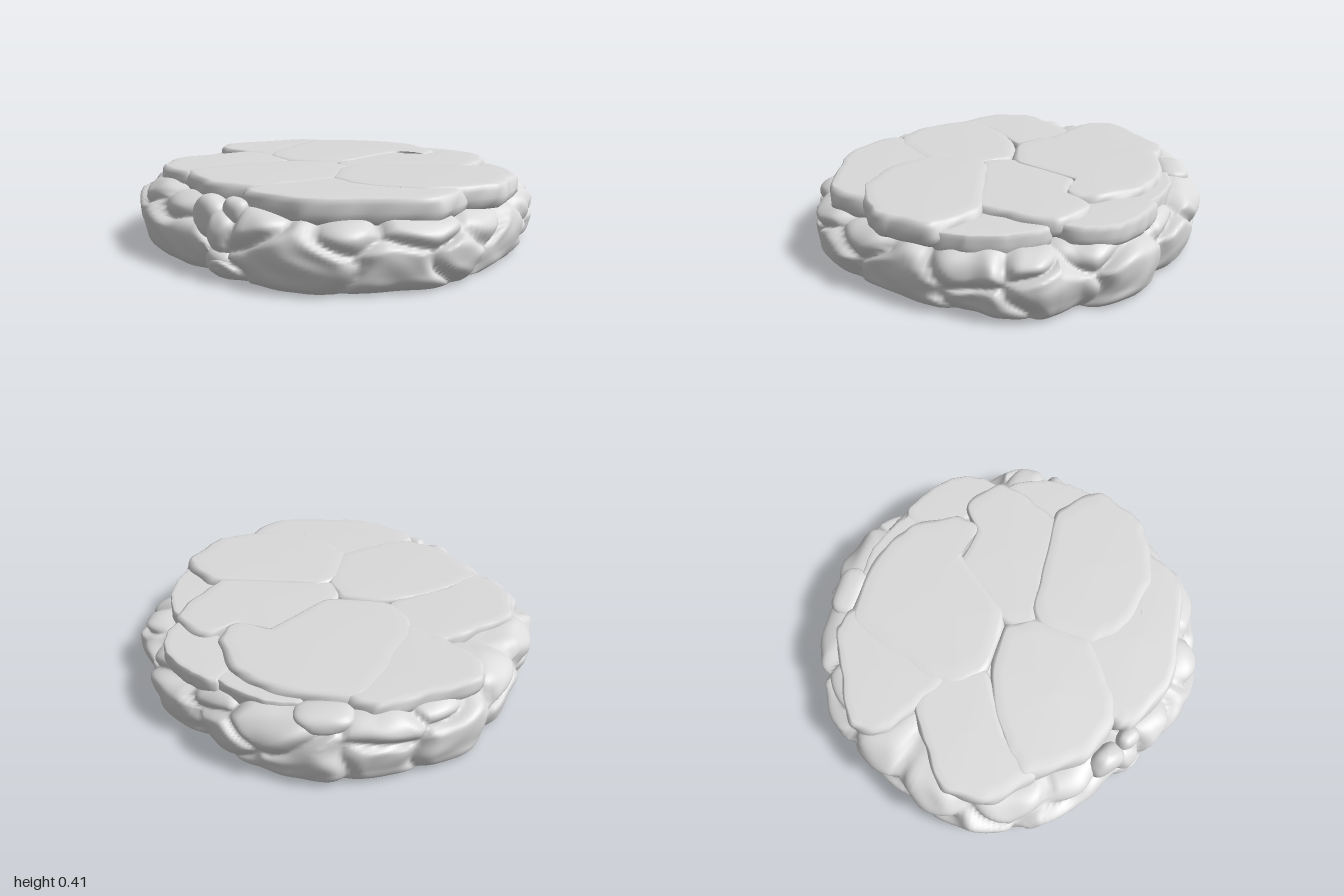
import * as THREE from 'three';

const stone = new THREE.MeshStandardMaterial({ color: 0xdadada });
stone.name = 'pale grey stone';

const FLOOR = 0.004;

// Seeded random numbers
let seed = 7;
const rand = () => (seed = (seed * 16807) % 2147483647) / 2147483647;

// Closed outline in the ground plane, always running from +x towards +z
function outline(pts, n, tension) {
  let area = 0;
  pts.forEach(([x, z], i) => {
    const [x2, z2] = pts[(i + 1) % pts.length];
    area += x * z2 - x2 * z;
  });
  const order = area < 0 ? [...pts].reverse() : pts;
  const curve = new THREE.CatmullRomCurve3(
    order.map(([x, z]) => new THREE.Vector3(x, 0, z)), true, 'catmullrom', tension);
  return Array.from({ length: n }, (_, i) => curve.getPoint(i / n));
}

// Skin over stacked closed rings, listed from the underside to the top
function loft(rings, name) {
  const n = rings[0].length, pos = [], idx = [];
  rings.forEach(r => r.forEach(p => pos.push(p.x, p.y, p.z)));
  for (let i = 0; i < rings.length - 1; i++) {
    for (let j = 0; j < n; j++) {
      const a = i * n + j, b = i * n + (j + 1) % n;
      idx.push(a, a + n, b, b, a + n, b + n);
    }
  }
  const g = new THREE.BufferGeometry();
  g.setAttribute('position', new THREE.Float32BufferAttribute(pos, 3));
  g.setIndex(idx);
  g.computeVertexNormals();
  const mesh = new THREE.Mesh(g, stone);
  mesh.name = name;
  return mesh;
}

// Flat paving stone with a chipped edge that slopes outwards below
function slab(name, pts, top, thick) {
  const n = 96, edge = outline(pts, n, 0.35);
  const c = edge.reduce((s, p) => s.add(p), new THREE.Vector3()).divideScalar(n);
  const phase = rand() * 6;
  const section = [[0, 0], [0.95, 0], [1.02, 0.2], [1.03, 0.45], [1.015, 0.75],
    [0.985, 0.93], [0.94, 0.985], [0.8, 1], [0, 1]];
  return loft(section.map(([s, h]) => edge.map((p, j) => {
    const a = j / n * Math.PI * 2;
    const wob = 1 + 0.014 * Math.sin(a * 7 + phase) + 0.012 * Math.sin(a * 13 + h * 5 + phase);
    const q = c.clone().lerp(p, s * wob);
    q.y = top - thick * (1 - h);
    return q;
  })), name);
}

// Rounded boulder set into the rim, flattened on the ground
function boulder(name, x, y, z, w, h, d) {
  const g = new THREE.SphereGeometry(1, 28, 18), p = g.attributes.position;
  const turn = Math.atan2(x, z), v = new THREE.Vector3();
  for (let i = 0; i < p.count; i++) {
    v.fromBufferAttribute(p, i);
    const k = 1 + 0.06 * Math.sin(v.x * 4 + x * 9) * Math.cos(v.y * 3 + z * 7);
    v.set(...v.toArray().map(c => Math.sign(c) * Math.abs(c) ** 0.8 * k));
    v.multiply(new THREE.Vector3(w, h, d)).applyAxisAngle(new THREE.Vector3(0, 1, 0), turn);
    p.setXYZ(i, x + v.x, Math.max(FLOOR, y + v.y), z + v.z);
  }
  g.computeVertexNormals();
  const mesh = new THREE.Mesh(g, stone);
  mesh.name = name;
  return mesh;
}

// Round body whose side is divided into bulging stones by cells
function rockBody() {
  const rim = outline([[0.99, -0.24], [0.92, -0.42], [0.91, -0.54], [0.82, -0.7], [0.73, -0.75],
    [0.62, -0.79], [0.55, -0.88], [0.35, -0.97], [0.1, -0.96], [-0.1, -0.99], [-0.25, -0.95],
    [-0.4, -0.91], [-0.6, -0.81], [-0.72, -0.68], [-0.83, -0.55], [-0.92, -0.42], [-1, -0.24],
    [-1, 0.05], [-0.94, 0.4], [-0.82, 0.66], [-0.6, 0.84], [-0.29, 0.93], [-0.1, 0.93],
    [-0.02, 0.985], [0.12, 0.98], [0.4, 0.96], [0.62, 0.87], [0.79, 0.68], [0.9, 0.57],
    [0.98, 0.4], [1, 0.13]], 320, 0.4);

  // Stone centres: angle (90 is the front), height, size, set-back
  const cells = [[113, 0.17, 1.7, 0], [64, 0.17, 1.6, 0.015], [91, 0.28, 0.8, 0.03], [89, 0.06, 0.6, 0]];
  for (let a = 142; a < 396; a += 23) {
    cells.push([a + rand() * 12, 0.07 + rand() * 0.13, 1 + rand() * 0.7, rand() * 0.03]);
  }
  for (let a = 0; a < 360; a += 24) {
    cells.push([a + rand() * 14, 0.27 + rand() * 0.1, 0.8 + rand() * 0.5, rand() * 0.035]);
  }
  const seeds = cells.map(([a, y, size, back]) => {
    const t = a * Math.PI / 180;
    return { p: new THREE.Vector3(Math.cos(t), y * 1.6, Math.sin(t)), size, back };
  });

  const profile = new THREE.CatmullRomCurve3([[0.93, FLOOR], [0.965, 0.04], [0.99, 0.1], [1.005, 0.18],
    [1, 0.25], [0.97, 0.3], [0.9, 0.338], [0.76, 0.345]].map(([r, y]) => new THREE.Vector3(r, y, 0)));
  const at = new THREE.Vector3();
  const rings = [];
  for (let i = 0; i <= 40; i++) {
    const { x: s, y } = profile.getPoint(i / 40);
    rings.push(rim.map(q => {
      const len = Math.hypot(q.x, q.z), x = q.x / len, z = q.z / len;
      // Bend the cell borders so the joints run unevenly
      at.set(x * s + 0.025 * Math.sin(y * 26 + z * 9), y * 1.6 + 0.04 * Math.sin(x * 11 + z * 7),
        z * s + 0.025 * Math.sin(y * 22 + x * 8));
      let f1 = 9, f2 = 9, near = seeds[0], next = near;
      for (const c of seeds) {
        const d = at.distanceTo(c.p) / c.size;
        if (d < f1) { f2 = f1; next = near; f1 = d; near = c; } else if (d < f2) { f2 = d; next = c; }
      }
      const gap = 1 - Math.min((f2 - f1) / 0.13, 1);
      const back = near.back + (next.back - near.back) * gap / 2;
      const dent = 0.05 * gap * gap + back * Math.min(1, y / 0.1)
        + 0.006 * Math.sin(at.x * 23 + y * 30) * Math.sin(at.z * 19);
      const k = s * 1.005 - dent;
      // The right-hand rim (-x) stands a little higher than the left
      const rise = 1 - 0.09 * x;
      return new THREE.Vector3(q.x * k, i ? Math.max(FLOOR, y * rise - dent * 0.5) : FLOOR, q.z * k);
    }));
  }
  // Flat underside with a crisp edge, and a closed top beneath the slabs
  const flat = (r, y, s) => r.map(p => new THREE.Vector3(p.x * s, y, p.z * s));
  rings.unshift(flat(rings[0], FLOOR, 0), flat(rings[0], FLOOR, 1));
  rings.push(flat(rim, 0.34, 0));
  return loft(rings, 'rockBody');
}

export function createModel() {
  const model = new THREE.Group();
  model.name = 'roundStonePlatform';
  model.add(rockBody());

  // Large flat paving slabs
  const paving = new THREE.Group();
  paving.name = 'pavingSlabs';
  paving.add(
    slab('backSlab', [[-0.56, -0.58], [-0.2, -0.76], [0, -0.77], [0.24, -0.65], [0.27, -0.5],
      [0.1, -0.44], [0.04, -0.05], [-0.28, 0.13], [-0.47, 0], [-0.55, -0.3]], 0.41, 0.1),
    slab('leftRearSlab', [[-0.65, -0.58], [-0.8, -0.36], [-0.93, -0.12], [-0.82, 0.02], [-0.6, 0.03],
      [-0.42, 0.02], [-0.38, -0.3], [-0.48, -0.58]], 0.407, 0.1),
    slab('leftFrontSlab', [[-0.6, -0.02], [-0.72, 0.2], [-0.8, 0.43], [-0.67, 0.63], [-0.43, 0.68],
      [-0.4, 0.45], [-0.24, 0.13], [-0.4, -0.02]], 0.404, 0.1),
    slab('frontSlab', [[-0.46, 0.66], [-0.44, 0.5], [-0.28, 0.2], [0, 0.02], [0.17, 0.14],
      [0.27, 0.36], [0.18, 0.6], [0.06, 0.76], [-0.2, 0.79]], 0.408, 0.11),
    slab('rightSlab', [[0.12, 0.12], [0.32, -0.06], [0.68, -0.28], [0.92, -0.22], [0.97, 0],
      [0.94, 0.14], [0.74, 0.37], [0.45, 0.45], [0.26, 0.4]], 0.411, 0.12),
    slab('rightFrontSlab', [[0.24, 0.34], [0.66, 0.36], [0.84, 0.2], [0.87, 0.46], [0.62, 0.68],
      [0.38, 0.83], [0.08, 0.83], [0.05, 0.7]], 0.405, 0.12),
    slab('rightRearSlab', [[0.04, -0.4], [0.26, -0.5], [0.33, -0.66], [0.57, -0.63], [0.62, -0.4],
      [0.62, -0.22], [0.32, -0.02], [0.1, 0.12], [0, -0.05]], 0.404, 0.1));
  model.add(paving);

  // Lower ledge stones around the paving
  const ledge = new THREE.Group();
  ledge.name = 'ledgeStones';
  ledge.add(
    slab('backLedge', [[0.05, -0.86], [0.2, -0.89], [0.4, -0.86], [0.53, -0.74], [0.53, -0.6],
      [0.28, -0.6], [0.08, -0.7]], 0.375, 0.1),
    slab('backLeftLedge', [[-0.36, -0.73], [-0.2, -0.83], [0.06, -0.85], [0.12, -0.7], [-0.2, -0.62]], 0.372, 0.1),
    slab('rightBackLedge', [[0.58, -0.6], [0.76, -0.51], [0.87, -0.36], [0.9, -0.2], [0.6, -0.2]], 0.37, 0.1),
    boulder('ovalStone', -0.47, 0.33, -0.71, 0.14, 0.055, 0.09),
    boulder('frontWedge', -0.09, 0.26, 0.86, 0.1, 0.1, 0.07),
    boulder('frontKnob', 0.06, 0.3, 0.86, 0.07, 0.07, 0.05),
    boulder('frontPebble', 0.01, 0.08, 0.91, 0.08, 0.06, 0.06));
  model.add(ledge);
  return model;
}
